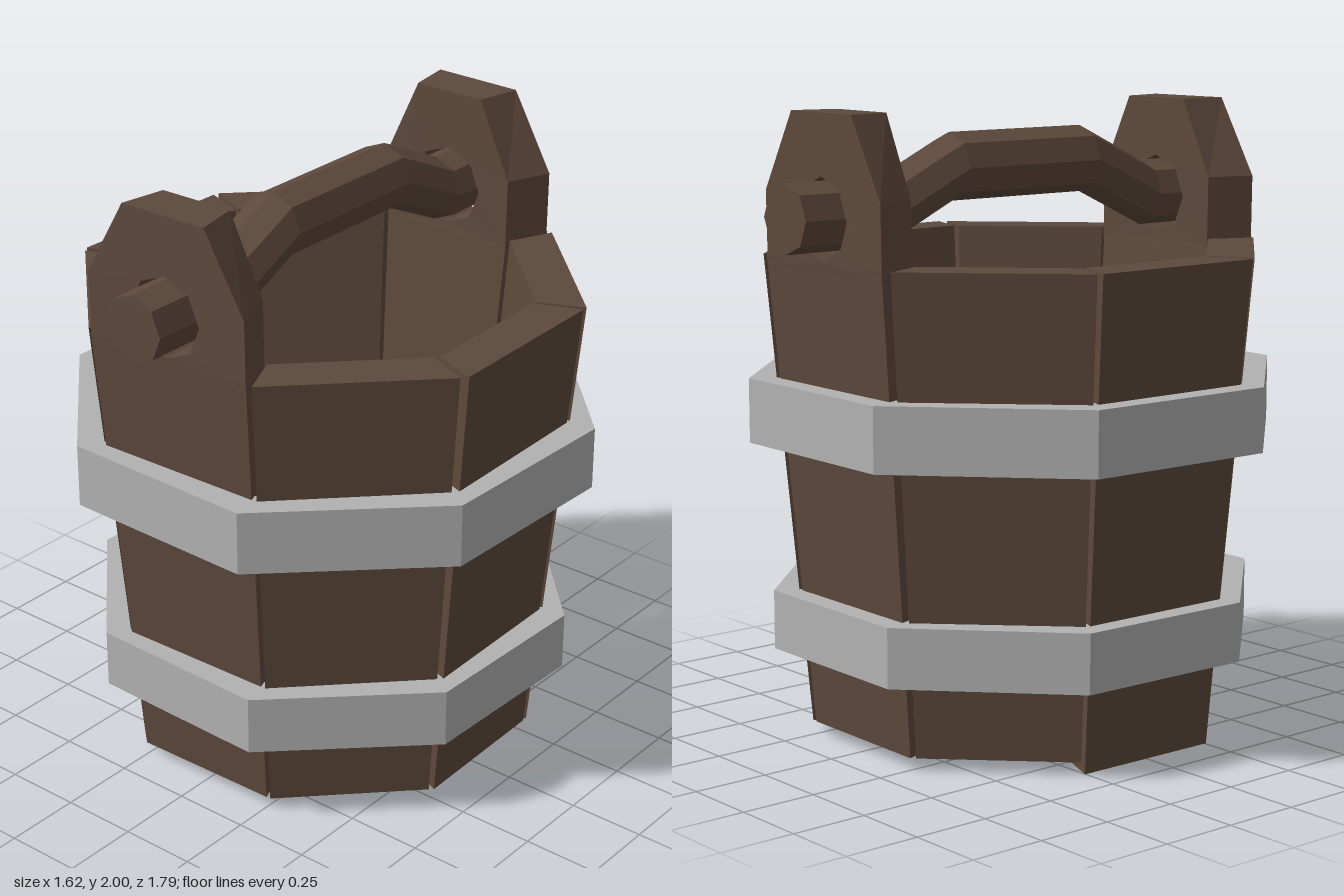
import * as THREE from 'three';

const wood = new THREE.MeshStandardMaterial({ color: 0x5e493c });
wood.name = 'darkWood';
const iron = new THREE.MeshStandardMaterial({ color: 0xb2b2b2 });
iron.name = 'greyIron';

const MID = 0.685; // distance from the axis to the middle of a stave
const TOP = 1.55;

function part(name, geometry, material) {
  const mesh = new THREE.Mesh(geometry, material);
  mesh.name = name;
  return mesh;
}

// Path through the corners of an octagon; turn = PI/8 puts flats on the axes
function octagon(target, radius, turn, cy = 0) {
  const points = [];
  for (let i = 0; i < 8; i++) {
    const a = turn + (i * Math.PI) / 4;
    points.push(new THREE.Vector2(Math.cos(a) * radius, cy + Math.sin(a) * radius));
  }
  return target.setFromPoints(points);
}

// Wedge-shaped plank that widens and leans outwards towards the top
function staveGeometry(bottom) {
  const g = new THREE.BoxGeometry(2, 2, 2);
  const p = g.attributes.position;
  for (let i = 0; i < p.count; i++) {
    const up = p.getY(i) > 0;
    const outer = p.getZ(i) > 0;
    const half = up ? (outer ? 0.302 : 0.246) : (outer ? 0.253 : 0.198);
    const z = up ? (outer ? 0.758 : 0.61) : (outer ? 0.63 : 0.49);
    p.setXYZ(i, Math.sign(p.getX(i)) * half, up ? TOP : bottom, z - MID);
  }
  g.computeVertexNormals();
  return g;
}

// Upright lug with clipped corners and an eight-sided hole
function earGeometry() {
  const shape = new THREE.Shape([
    [-0.3, 1.52], [0.3, 1.52], [0.3, 1.75], [0.155, 2], [-0.155, 2], [-0.3, 1.75],
  ].map(([x, y]) => new THREE.Vector2(x, y)));
  shape.holes.push(octagon(new THREE.Path(), 0.13, 0, 1.68));
  const g = new THREE.ExtrudeGeometry(shape, { depth: 0.15, bevelEnabled: false });
  const p = g.attributes.position;
  for (let i = 0; i < p.count; i++) {
    const x = p.getX(i);
    const inner = p.getZ(i) < 0.05;
    if (inner && Math.abs(x) > 0.14) p.setX(i, x * 0.82);
    const lean = p.getY(i) < 1.53 ? 0.003 : 0;
    p.setZ(i, p.getZ(i) + 0.609 - lean - MID);
  }
  g.computeVertexNormals();
  return g;
}

// Eight-sided band
function hoopGeometry(radius, inner, height) {
  const shape = octagon(new THREE.Shape(), radius, Math.PI / 8);
  shape.holes.push(octagon(new THREE.Path(), inner, Math.PI / 8));
  return new THREE.ExtrudeGeometry(shape, { depth: height, bevelEnabled: false })
    .rotateX(-Math.PI / 2);
}

// Eight-sided bar that rises in the middle
function handleGeometry() {
  const zs = [-0.895, -0.54, -0.27, 0.27, 0.54, 0.895];
  const ys = [1.69, 1.69, 1.815, 1.815, 1.69, 1.69];
  let g = new THREE.CylinderGeometry(0.107, 0.107, 5, 8, 5).rotateX(Math.PI / 2);
  const p = g.attributes.position;
  for (let i = 0; i < p.count; i++) {
    const k = Math.round(p.getZ(i) + 2.5);
    p.setZ(i, zs[k]);
    p.setY(i, p.getY(i) + ys[k]);
  }
  g = g.toNonIndexed();
  g.computeVertexNormals();
  return g;
}

export function createModel() {
  const bucket = new THREE.Group();
  bucket.name = 'bucket';

  // Eight staves, a few slightly askew; the right one reaches the ground
  const yaw = [0.02, 0, 0.025, 0, -0.025, 0, -0.017, 0];
  for (let k = 0; k < 8; k++) {
    const a = (k * Math.PI) / 4;
    const stave = new THREE.Group();
    stave.name = 'stave' + (k + 1);
    stave.add(part('plank', staveGeometry(k === 6 ? 0 : 0.04), wood));
    if (k % 4 === 0) stave.add(part('handleEar', earGeometry(), wood));
    stave.position.set(Math.sin(a) * MID, 0, Math.cos(a) * MID);
    stave.rotation.y = a + yaw[k];
    bucket.add(stave);
  }

  // Floor board, set a little above the lower rim
  const floorShape = octagon(new THREE.Shape(), 0.56, Math.PI / 8);
  const floor = part('floor', new THREE.ExtrudeGeometry(floorShape, { depth: 0.08, bevelEnabled: false })
    .rotateX(-Math.PI / 2), wood);
  floor.position.y = 0.09;
  bucket.add(floor);

  // Iron hoops, turned slightly against the staves
  for (const [name, radius, inner, y, height] of [
    ['upperHoop', 0.867, 0.755, 0.955, 0.205],
    ['lowerHoop', 0.798, 0.69, 0.285, 0.19],
  ]) {
    const hoop = part(name, hoopGeometry(radius, inner, height), iron);
    hoop.position.y = y;
    hoop.rotation.y = -0.027;
    bucket.add(hoop);
  }

  bucket.add(part('handle', handleGeometry(), wood));
  return bucket;
}
